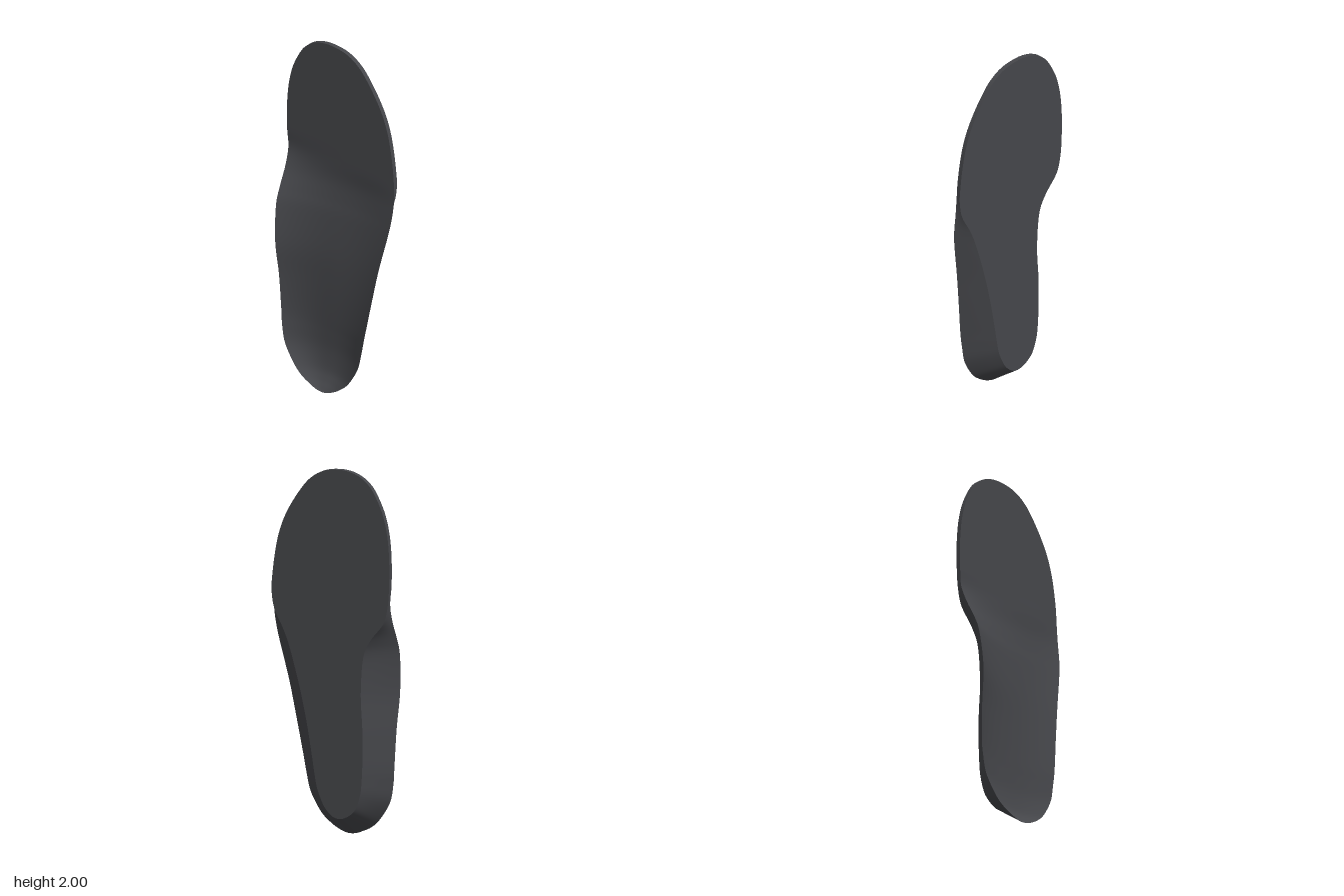
import * as THREE from 'three';

// Stations run from heel tip to toe tip; every profile holds one value per station.
const Y = [0, .005, .02, .05, .1, .2, .3, .4, .6, .8, 1, 1.1, 1.2, 1.3, 1.4, 1.5, 1.6, 1.7, 1.8, 1.9, 1.95, 1.98, 1.995, 2];
const RIM_R = [-.03, -.065, -.105, -.165, -.22, -.285, -.307, -.315, -.322, -.332, -.343, -.346, -.35, -.357,
  -.365, -.367, -.363, -.35, -.322, -.27, -.225, -.175, -.125, -.08];
const RIM_L = [-.03, .005, .043, .092, .145, .203, .226, .243, .273, .305, .345, .36, .365, .362,
  .355, .341, .32, .284, .228, .155, .1, .045, -.015, -.08];

// Shorter profiles continue with the fallback values through the forefoot.
const pad = (values, rest) => Y.map((_, i) => values[i] ?? (Array.isArray(rest) ? rest[i] : rest));
const BASE_Y = pad([.11, .113, .122, .143, .18, .26, .34, .43, .61, .8], Y);
const BASE_R = pad([-.05, -.072, -.095, -.128, -.16, -.187, -.196, -.2, -.2, -.19, -.205, -.25, -.33], RIM_R);
const BASE_L = pad([-.05, -.03, -.01, .016, .045, .08, .097, .112, .145, .19, .25, .292, .345], RIM_L);
const HEIGHT_R = pad([.07, .07, .068, .066, .063, .059, .057, .055, .065, .084, .065, .03, -.02], -.055);
const HEIGHT_L = pad([.07, .07, .068, .065, .06, .055, .05, .045, .025, .005, -.02, -.035, -.05], -.055);
const CUP_DEPTH = pad([0, .008, .02, .042, .062, .074, .073, .068, .06, .06, .052, .041, .02], 0);
const BACK_Z = -.08;

const ROWS = 115;
const COLS = 32;

// Smooth interpolation of a profile, t from 0 to 1
function sample(profile, t) {
  const s = t * (profile.length - 1);
  const i = Math.min(Math.floor(s), profile.length - 2);
  const f = s - i;
  const p = (k) => profile[THREE.MathUtils.clamp(k, 0, profile.length - 1)];
  const m0 = (p(i + 1) - p(i - 1)) / 2, m1 = (p(i + 2) - p(i)) / 2;
  const f2 = f * f, f3 = f2 * f;
  return p(i) * (2 * f3 - 3 * f2 + 1) + m0 * (f3 - 2 * f2 + f) + p(i + 1) * (3 * f2 - 2 * f3) + m1 * (f3 - f2);
}

// Grid surface from a point rule at(u, v)
function surface(name, rows, cols, at, material) {
  const positions = [], index = [];
  for (let i = 0; i <= rows; i++) {
    for (let j = 0; j <= cols; j++) {
      positions.push(...at(j / cols, i / rows));
      if (i < rows && j < cols) {
        const a = i * (cols + 1) + j, d = a + cols + 1;
        index.push(a, a + 1, d + 1, a, d + 1, d);
      }
    }
  }
  const geometry = new THREE.BufferGeometry();
  geometry.setAttribute('position', new THREE.Float32BufferAttribute(positions, 3));
  geometry.setIndex(index);
  geometry.computeVertexNormals();
  const mesh = new THREE.Mesh(geometry, material);
  mesh.name = name;
  return mesh;
}

export function createModel() {
  const group = new THREE.Group();
  group.name = 'insole';
  const material = new THREE.MeshStandardMaterial({ color: 0x45464a });
  const lerp = THREE.MathUtils.lerp;

  // Cupped upper face with raised arch and heel rim
  const footbedAt = (u, t) => {
    const bowl = 1 - Math.abs(2 * u - 1) ** 2.6;
    return [
      lerp(sample(RIM_R, t), sample(RIM_L, t), u),
      sample(Y, t),
      lerp(sample(HEIGHT_R, t), sample(HEIGHT_L, t), u) - sample(CUP_DEPTH, t) * bowl,
    ];
  };
  group.add(surface('footbed', ROWS, COLS, footbedAt, material));

  // Flat underside, narrower at heel and arch
  const baseAt = (u, t) => [lerp(sample(BASE_R, t), sample(BASE_L, t), u), sample(BASE_Y, t), BACK_Z];
  group.add(surface('base', ROWS, 8, (u, t) => baseAt(1 - u, t), material));

  // Sloping wall: down one side from the toe, round the heel, up the other side
  const wallAt = (u, v) => {
    const side = v < .5 ? 0 : 1;
    const t = Math.abs(2 * v - 1);
    const rim = footbedAt(side, t), base = baseAt(side, t);
    return rim.map((value, k) => lerp(value, base[k], u));
  };
  group.add(surface('sideWall', ROWS * 2, 4, wallAt, material));

  return group;
}
